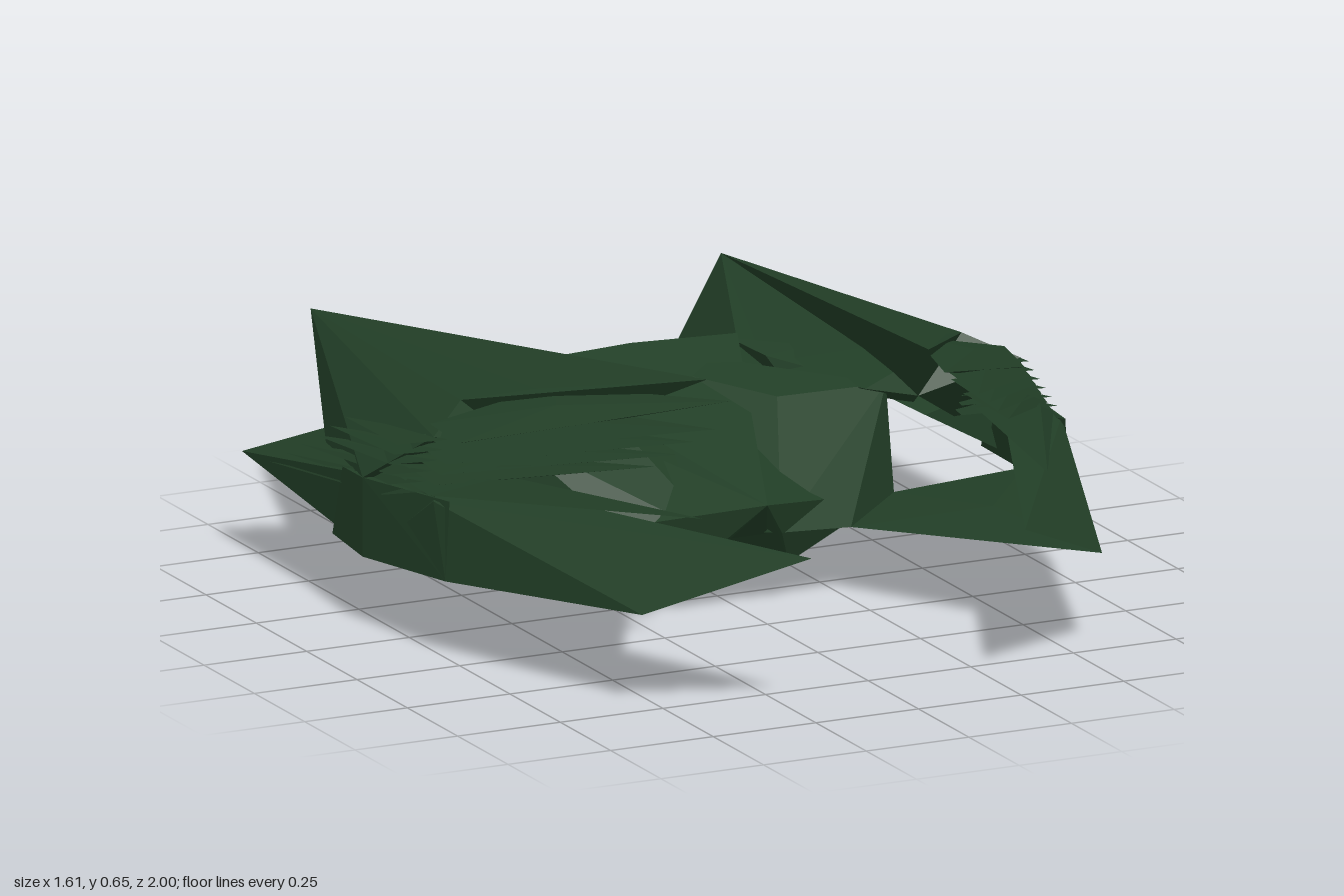
import * as THREE from 'three';
import { ConvexGeometry } from 'three/addons/geometries/ConvexGeometry.js';

const darkGreen = new THREE.MeshStandardMaterial({ color: 0x223f27, flatShading: true });
darkGreen.name = 'darkGreen';

// A faceted solid wrapped around a few corner points, mirrored by side = -1.
function facet(name, points, side = 1) {
  const corners = points.map(([x, y, z]) => new THREE.Vector3(x * side, y, z));
  const mesh = new THREE.Mesh(new ConvexGeometry(corners), darkGreen);
  mesh.name = name;
  return mesh;
}

// Shared corners of one half
const nose = [0, 0.27, 0.25];
const bladeTip = [0.5, 0.46, -1];
const keelTip = [0.115, 0, -0.82];
const keelFront = [0.12, 0.09, 0.11];
const keelOuter = [0.46, 0.163, -0.06];
const lip = [0.25, 0.165, 0.155];
const crestTip = [0.27, 0.655, 0.5];
const ridge = [0.61, 0.515, -0.03];
const shoulder = [0.715, 0.465, 0.05];
const sideTop = [0.805, 0.34, -0.12];
const sideBottom = [0.805, 0.16, -0.12];
const sideFront = [0.76, 0.18, 0.2];
const innerRoot = [0.48, 0.4, 0.02];
const clawCorner = [0.56, 0.225, 0.77];

// Feather tips, from the crest down to the claw
const featherTips = [
  [0.26, 0.63, 0.6], [0.32, 0.585, 0.645], [0.36, 0.555, 0.62],
  [0.39, 0.525, 0.6], [0.43, 0.495, 0.57], [0.42, 0.43, 0.785],
];

function half(side) {
  const group = new THREE.Group();
  group.name = side > 0 ? 'leftHalf' : 'rightHalf';
  const add = (name, points) => group.add(facet(name, points, side));

  // Inner wing joining the body to the side
  add('innerWing', [
    [0, 0.43, -0.38], [0.2, 0.43, -0.3], [0.2, 0.4, -0.11], [0.46, 0.4, -0.1],
    lip, [0.07, 0.18, 0.175], [0.04, 0.165, 0.1], keelOuter, [0.3, 0.22, -0.3],
  ]);
  add('wingBarb', [[0.265, 0.43, -0.48], [0.42, 0.42, -0.38], [0.29, 0.42, -0.35], [0.42, 0.39, -0.2], [0.32, 0.36, -0.3]]);

  // Low rear blade
  add('keelBlade', [bladeTip, keelTip, nose, keelFront, [0.07, 0.18, 0.18], keelOuter]);

  // Inner wall closing the space between the low and high blades
  add('bladeWall', [bladeTip, [0.3, 0.395, -0.38], [0.4, 0.4, -0.08], innerRoot, ridge, [0.35, 0.36, -0.3], [0.6, 0.3, -0.25]]);

  // High blade sweeping from the rear tip to the crest
  add('crestBlade', [bladeTip, crestTip, ridge, innerRoot, [0.5, 0.565, 0.12]]);
  add('outerShell', [bladeTip, ridge, shoulder, sideTop, [0.785, 0.2, -0.3], innerRoot]);

  // Side wall and its rear fin
  add('sidePanel', [sideTop, sideBottom, [0.79, 0.165, -0.3], [0.79, 0.33, -0.25], [0.74, 0.3, -0.1], sideFront, [0.75, 0.36, 0.2]]);
  add('rearFin', [[0.78, 0.23, -0.77], [0.5, 0.33, -0.61], [0.79, 0.18, -0.2], [0.79, 0.33, -0.2], [0.58, 0.3, -0.15]]);

  // Lower claw, with a flat floor running back to the body
  add('lowerClaw', [[0.26, 0.375, 1], clawCorner, sideFront, sideBottom, [0.765, 0.35, 0.15], [0.68, 0.37, 0.02]]);
  add('clawFloor', [lip, clawCorner, sideFront, sideBottom, keelOuter, [0.55, 0.2, 0.25]]);

  // Fan of thin feathers with swept-back tails
  featherTips.forEach((tip, i) => {
    const y = 0.48 - i * 0.022;
    add('feather', [
      tip,
      [0.44 + i * 0.03, y + 0.075 - i * 0.014, 0.08],
      [0.51 + i * 0.032, 0.56 - i * 0.03, 0.24],
      [0.69 + i * 0.014, y - 0.015, 0.12],
      [0.6 + i * 0.024, y - 0.03, 0.08],
      [0.7 + i * 0.015, y, 0],
    ]);
    add('featherTail', [
      [0.75 + i * 0.007, 0.42 - i * 0.035, -0.32 - i * 0.06],
      [0.71 + i * 0.014, y - 0.01, 0.1],
      [0.76 + i * 0.007, y - 0.05, -0.04],
      [0.62, y - 0.05, -0.05],
    ]);
  });
  return group;
}

export function createModel() {
  const model = new THREE.Group();
  model.name = 'angularCraft';

  // Central arrow-shaped plate
  model.add(facet('arrowPlate', [
    [-0.26, 0.455, -0.43], [0.26, 0.455, -0.43], [0, 0.465, -0.43], nose,
    [0, 0.4, -0.36],
  ]));
  // Belly under the nose
  model.add(facet('belly', [
    nose, [-0.3, 0.165, -0.05], [0.3, 0.165, -0.05], [-0.06, 0.165, 0.12], [0.06, 0.165, 0.12],
    [0, 0.4, -0.3],
  ]));
  model.add(half(1), half(-1));
  return model;
}
